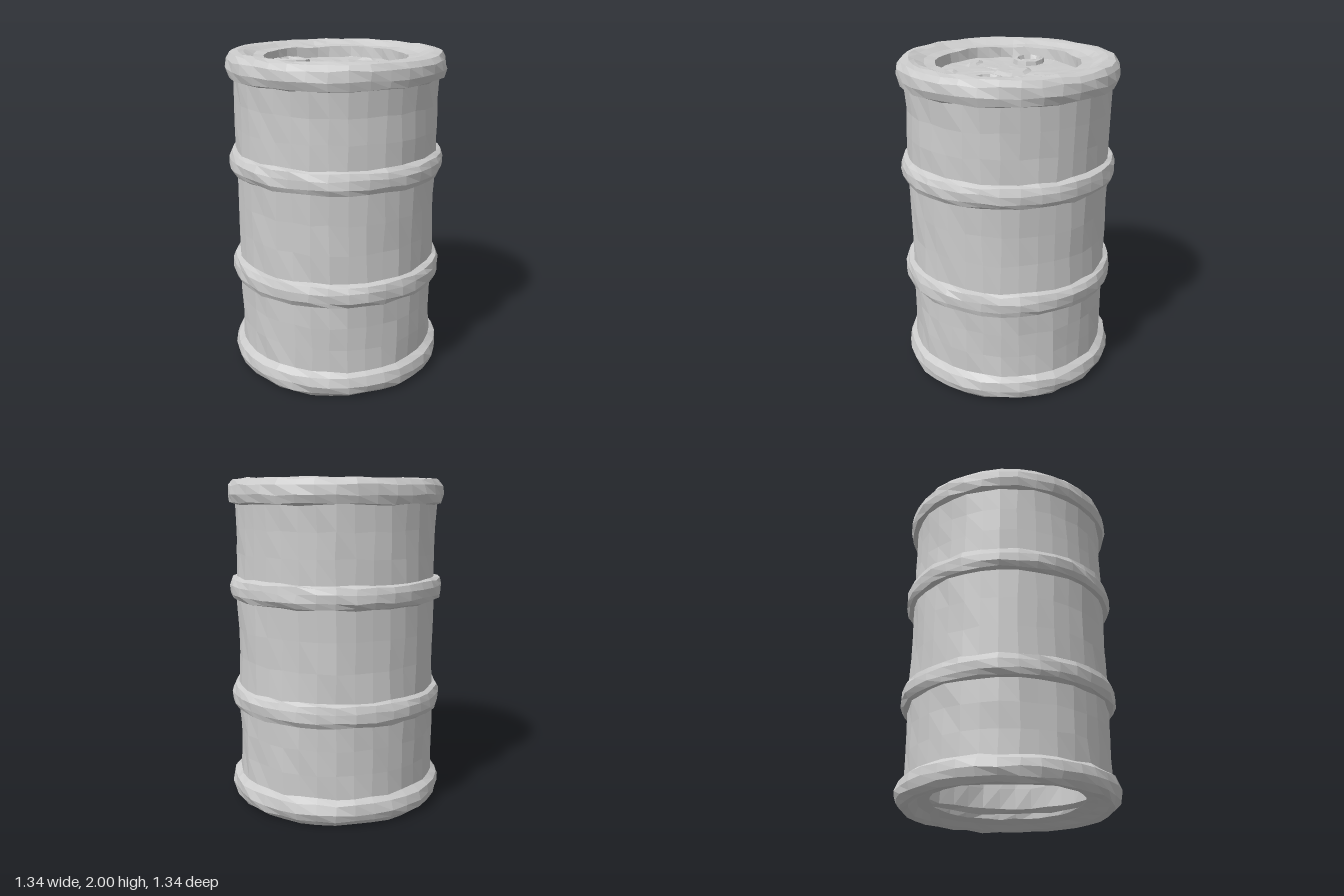
import * as THREE from 'three';

const material = new THREE.MeshStandardMaterial({
  color: 0xcccccc, flatShading: true, side: THREE.DoubleSide,
});

// Repeatable value in -1..1 from a position, so shared corners move together
function hash(x, y, z, seed) {
  const s = Math.sin(Math.round(x * 500) * 12.99 + Math.round(y * 500) * 78.23 + Math.round(z * 500) * 37.72 + seed) * 43758.55;
  return (s - Math.floor(s)) * 2 - 1;
}

// Slightly dents a geometry for a worn, hand-hammered surface
function dent(geometry, amount) {
  const p = geometry.attributes.position;
  for (let i = 0; i < p.count; i++) {
    const x = p.getX(i), y = p.getY(i), z = p.getZ(i);
    p.setXYZ(i,
      x + hash(x, y, z, 1) * amount,
      Math.min(2, Math.max(0, y + hash(x, y, z, 2) * amount)),
      z + hash(x, y, z, 3) * amount);
  }
  geometry.computeVertexNormals();
  return geometry;
}

function lathe(name, profile, segments, amount) {
  const points = profile.map(([r, y]) => new THREE.Vector2(r, y));
  const mesh = new THREE.Mesh(dent(new THREE.LatheGeometry(points, segments), amount), material);
  mesh.name = name;
  return mesh;
}

// Rounded hoop bulging out of the wall between two heights
const hoop = (y0, y1) => [
  [0.618, y0], [0.645, y0 + 0.008], [0.66, y0 + 0.04],
  [0.66, y1 - 0.05], [0.645, y1 - 0.012], [0.618, y1],
];

// Low round fitting on the lid
function fitting(name, x, z, rx, rz, profile, segments = 10) {
  const mesh = lathe(name, profile, segments, 0.004);
  mesh.scale.set(rx, 1, rz);
  mesh.position.set(x, 1.895, z);
  return mesh;
}

export function createModel() {
  const drum = new THREE.Group();
  drum.name = 'drum';

  // Hollow shell with two hoops, rolled rims and an open bottom
  drum.add(lathe('shell', [
    [0.46, 0.06], [0.53, 0.04], [0.58, 0.012], [0.625, 0.006], [0.655, 0.035], [0.668, 0.08],
    [0.655, 0.135], [0.618, 0.16],
    [0.616, 0.3], [0.616, 0.45],
    ...hoop(0.59, 0.735),
    [0.614, 0.91], [0.614, 1.09],
    ...hoop(1.27, 1.41),
    [0.614, 1.55], [0.614, 1.7],
    [0.62, 1.845], [0.648, 1.852], [0.662, 1.9], [0.655, 1.955], [0.63, 1.988], [0.585, 1.996],
    [0.55, 1.985], [0.5, 1.965], [0.435, 1.96], [0.428, 1.895],
  ], 36, 0.006));

  // Sunken lid
  drum.add(lathe('lid', [[0.428, 1.895], [0.32, 1.893], [0.2, 1.895], [0.1, 1.893], [0, 1.895]], 36, 0.004));

  // Two bungs with raised collars and dished caps
  for (const side of [-1, 1]) {
    drum.add(fitting(side < 0 ? 'rightBung' : 'leftBung', side * 0.302, -0.008, 0.12, 0.095,
      [[1, -0.01], [0.95, 0.025], [0.72, 0.03], [0.62, 0.008], [0.3, 0.014], [0, 0.016]]));
  }

  // Shallow pressed boss in the middle and small dimples around it
  drum.add(fitting('centreBoss', -0.02, -0.02, 0.15, 0.11, [[1, -0.008], [0.75, 0.015], [0.35, 0.018], [0, 0.012]], 9));
  for (const [x, z, rx, rz] of [[0.07, -0.33, 0.065, 0.045], [-0.12, 0.28, 0.1, 0.04], [0.15, 0.31, 0.06, 0.05]]) {
    drum.add(fitting('lidDimple', x, z, rx, rz, [[1, -0.008], [0.5, 0.012], [0, 0.014]], 7));
  }
  return drum;
}
